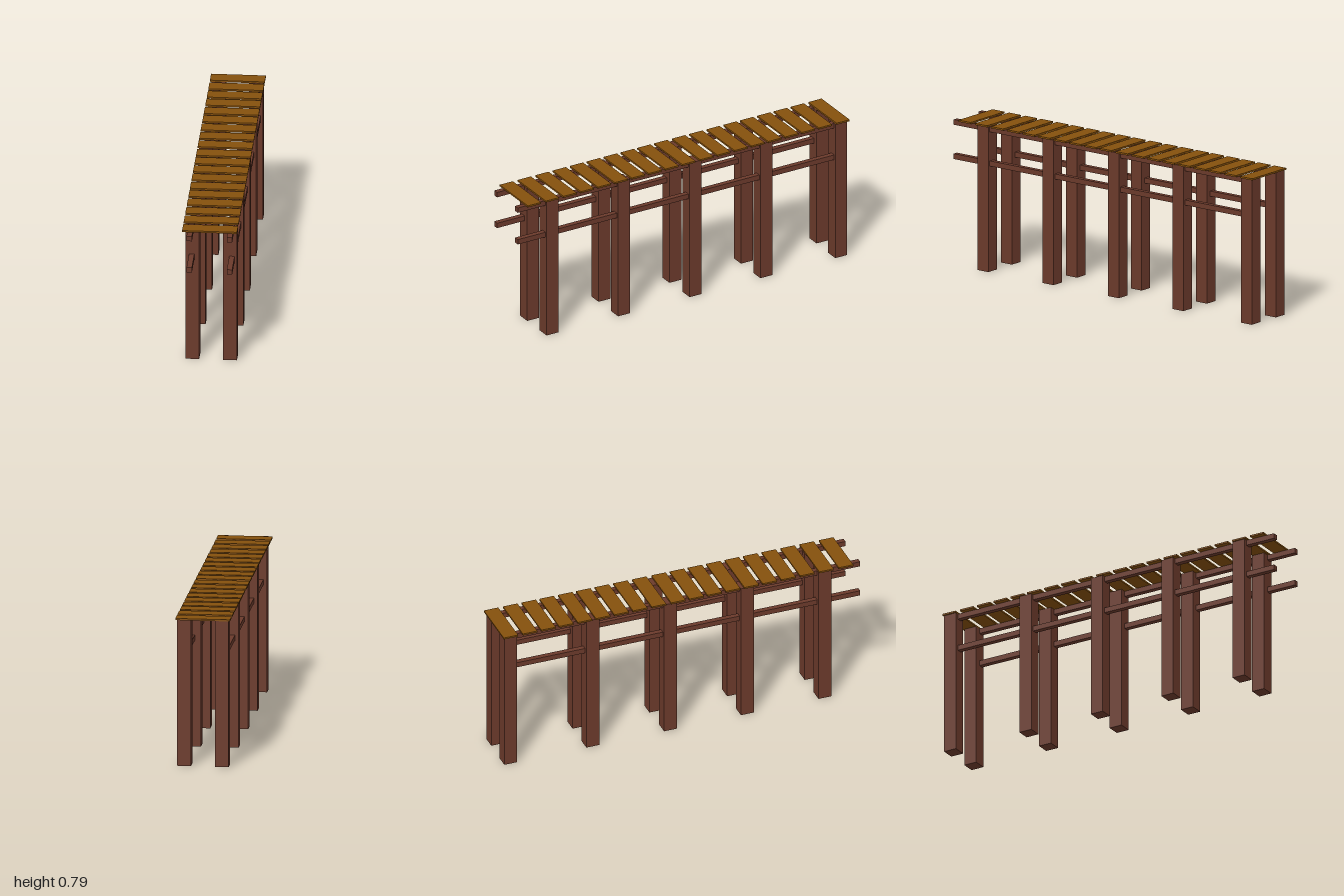
import * as THREE from 'three';

const timber = new THREE.MeshStandardMaterial({ color: 0x6b3a2b });
const deckWood = new THREE.MeshStandardMaterial({ color: 0x85500c });

// Box given by its low and high limits on each axis
function beam(name, material, [x0, x1], [y0, y1], [z0, z1]) {
  const mesh = new THREE.Mesh(new THREE.BoxGeometry(x1 - x0, y1 - y0, z1 - z0), material);
  mesh.name = name;
  mesh.position.set((x0 + x1) / 2, (y0 + y1) / 2, (z0 + z1) / 2);
  return mesh;
}

export function createModel() {
  const model = new THREE.Group();
  model.name = 'pier';

  // Five pairs of square posts, slightly out of line: [left z, right z]
  const posts = new THREE.Group();
  posts.name = 'posts';
  const rows = [[0.796, 0.796], [0.363, 0.363], [-0.071, -0.066], [-0.5, -0.5], [-0.954, -0.958]];
  for (const [zl, zr] of rows) {
    posts.add(beam('leftPost', timber, [0.061, 0.133], [0, 0.779], [zl - 0.036, zl + 0.036]));
    posts.add(beam('rightPost', timber, [-0.136, -0.064], [0, 0.779], [zr - 0.036, zr + 0.036]));
  }

  // Long rails, ending inside the rear posts
  const rails = new THREE.Group();
  rails.name = 'rails';
  const left = [0.093, 0.121], right = [-0.117, -0.089], run = [-0.94, 1];
  rails.add(
    beam('leftUpperRail', timber, left, [0.751, 0.779], run),
    beam('rightUpperRail', timber, right, [0.751, 0.779], run),
    beam('leftLowerRail', timber, left, [0.567, 0.595], run),
    beam('rightLowerRail', timber, right, [0.572, 0.6], run),
  );

  // Deck planks with slightly uneven gaps
  const deck = new THREE.Group();
  deck.name = 'deck';
  const plankZ = [-0.96, -0.853, -0.75, -0.65, -0.546, -0.445, -0.342, -0.238, -0.133, -0.025,
    0.077, 0.178, 0.281, 0.384, 0.486, 0.59, 0.695, 0.802, 0.911];
  for (const z of plankZ) {
    deck.add(beam('plank', deckWood, [-0.144, 0.142], [0.779, 0.788], [z - 0.04, z + 0.04]));
  }

  model.add(posts, rails, deck);
  return model;
}
